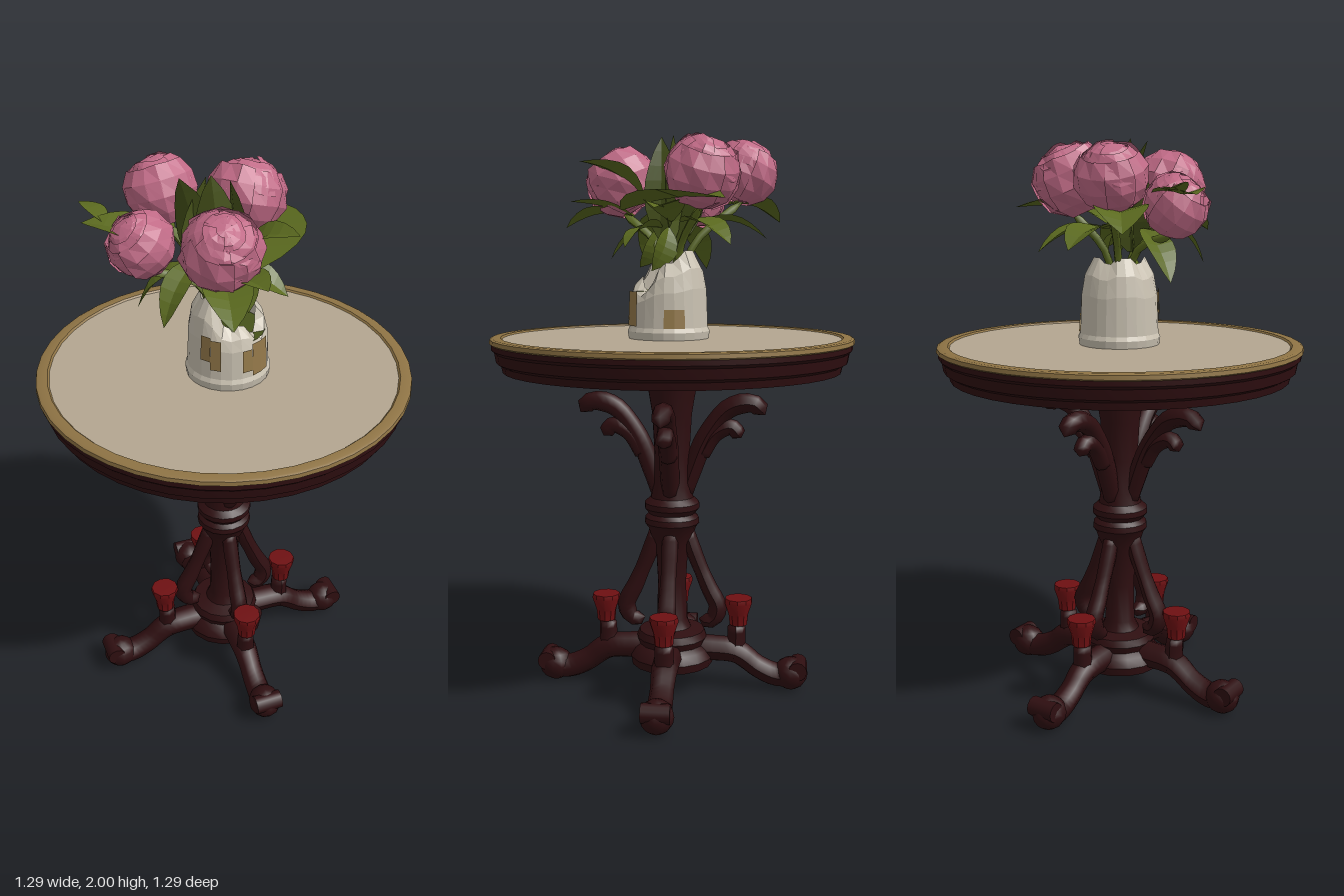
import * as THREE from 'three';
import { toCreasedNormals } from 'three/addons/utils/BufferGeometryUtils.js';

const mat = (name, color, double = false) => {
  const m = new THREE.MeshStandardMaterial({ color });
  m.name = name;
  if (double) m.side = THREE.DoubleSide;
  return m;
};
const V = (x, y, z = 0) => new THREE.Vector3(x, y, z);

function add(parent, name, geometry, material, pos = [0, 0, 0]) {
  const mesh = new THREE.Mesh(geometry, material);
  mesh.name = name;
  mesh.position.set(...pos);
  parent.add(mesh);
  return mesh;
}

// Flat facets without changing the material
function facet(geometry) {
  const g = geometry.index ? geometry.toNonIndexed() : geometry;
  g.computeVertexNormals();
  return g;
}

// Move every vertex by a rule
function bend(geometry, rule) {
  const p = geometry.attributes.position;
  const v = V(0, 0);
  for (let i = 0; i < p.count; i++) {
    v.fromBufferAttribute(p, i);
    rule(v, i);
    p.setXYZ(i, v.x, v.y, v.z);
  }
  geometry.computeVertexNormals();
  return geometry;
}

const lathe = (pts, sides) =>
  toCreasedNormals(new THREE.LatheGeometry(pts.map(([r, y]) => new THREE.Vector2(r, y)), sides), 0.6);

// Tube whose radius follows a list of radii; the ends close to a point
function taperTube(points, radii, steps = 20, sides = 8) {
  const curve = new THREE.CatmullRomCurve3(points.map((p) => V(...p)));
  const g = new THREE.TubeGeometry(curve, steps, 1, sides);
  return bend(g, (v, i) => {
    const t = Math.floor(i / (sides + 1)) / steps;
    const f = t * (radii.length - 1);
    const k = Math.min(Math.floor(f), radii.length - 2);
    let r = THREE.MathUtils.lerp(radii[k], radii[k + 1], f - k);
    if (t === 0 || t === 1) r = 0.001;
    const c = curve.getPointAt(t);
    v.sub(c).multiplyScalar(r).add(c);
  });
}

// Folded leaf from base to tip, arched upward and rolled about its length
function leafGeometry(base, tip, width, arch, roll) {
  const a = V(...base), b = V(...tip);
  const dir = b.clone().sub(a).normalize();
  const ref = Math.abs(dir.y) > 0.8 ? V(0, 0, -1) : V(0, 1, 0);
  const side = dir.clone().cross(ref).normalize().applyAxisAngle(dir, roll);
  const up = side.clone().cross(dir);
  return facet(bend(new THREE.PlaneGeometry(1, 1, 4, 7), (v) => {
    const t = v.y + 0.5, s = v.x * 2;
    const w = (width / 2) * (0.12 + 0.88 * Math.sin(Math.PI * Math.pow(t, 0.85))) * (t > 0.99 ? 0 : 1);
    const lift = arch * Math.sin(Math.PI * t) + Math.abs(s) * w * 0.3;
    v.copy(a).lerp(b, t).addScaledVector(side, s * w).addScaledVector(up, lift);
  }));
}

// Rose: a closed core with three overlapping rings of petals
function rose(parent, [x, y, z], r, tiltX, tiltZ, pink, seed) {
  const g = new THREE.Group();
  g.name = 'rose';
  g.position.set(x, y, z);
  g.rotation.set(tiltX, seed, tiltZ, 'XZY');
  const rough = (v, amount) => v.multiplyScalar(1 + amount * Math.sin(v.x * 61 + seed) * Math.cos(v.z * 53 + v.y * 47));
  const core = new THREE.SphereGeometry(r * 0.88, 10, 7);
  add(g, 'roseCore', facet(bend(core, (v) => rough(v, 0.04))), pink);
  [[5, 1, 0.85, 2.65, 1.7], [4, 0.94, 0.55, 1.5, 1.8], [3, 0.9, 0.22, 0.95, 1.9]].forEach(([n, size, t0, t1, span], ring) => {
    for (let i = 0; i < n; i++) {
      const petal = new THREE.SphereGeometry(r * size * (i % 2 ? 0.97 : 1.02), 4, 4, (i / n) * Math.PI * 2 + ring, span, t0, t1 - t0);
      bend(petal, (v) => {
        rough(v, 0.05);
        v.y *= 1 - 0.03 * (i % 3);
      });
      add(g, 'petal', facet(petal), pink);
    }
  });
  parent.add(g);
}

export function createModel() {
  const model = new THREE.Group();
  model.name = 'tableWithRoses';
  const wood = mat('dark wood', 0x2e0e10);
  const red = mat('red wood', 0x6e1012);
  const cream = mat('tabletop cream', 0xb3a690);
  const gold = mat('gold', 0x8e7344);
  const ceramic = mat('vase ceramic', 0xc9c1b1, true);
  const patchMat = mat('worn patch', 0x94794a, true);
  const pink = mat('rose pink', 0xc06a86, true);
  const green = mat('leaf green', 0x5b6a1f, true);
  const darkGreen = mat('dark leaf green', 0x46521a, true);

  // Round top
  const top = new THREE.Group();
  top.name = 'tableTop';
  model.add(top);
  add(top, 'apron', lathe([[0, 1.18], [0.6, 1.18], [0.605, 1.205], [0.622, 1.215], [0.628, 1.25], [0.638, 1.26], [0.638, 1.278]], 40), wood);
  add(top, 'goldRim', lathe([[0.636, 1.276], [0.645, 1.282], [0.643, 1.296], [0.635, 1.3], [0.605, 1.3], [0.598, 1.293]], 40), gold);
  add(top, 'inlay', new THREE.CircleGeometry(0.602, 40).rotateX(-Math.PI / 2), cream, [0, 1.294, 0]);

  // Turned column and base
  add(model, 'column', lathe([
    [0, 0.09], [0.15, 0.09], [0.155, 0.12], [0.14, 0.15], [0.12, 0.165], [0.13, 0.19], [0.12, 0.215], [0.07, 0.225],
    [0.055, 0.26], [0.052, 0.4], [0.06, 0.54], [0.08, 0.58], [0.088, 0.605], [0.1, 0.62], [0.098, 0.64], [0.084, 0.655],
    [0.1, 0.675], [0.1, 0.695], [0.078, 0.715], [0.07, 0.76], [0.064, 0.88], [0.072, 1.02], [0.092, 1.14], [0.098, 1.18],
  ], 16), wood);

  // Four diagonal sets of leg, post, strut and bracket
  for (let k = 0; k < 4; k++) {
    const arm = new THREE.Group();
    arm.name = 'legSet';
    arm.rotation.y = Math.PI / 4 + (k * Math.PI) / 2;
    model.add(arm);
    add(arm, 'leg', taperTube([[0.04, 0.145], [0.15, 0.145], [0.24, 0.135], [0.32, 0.08], [0.39, 0.052], [0.46, 0.06]],
      [0.05, 0.05, 0.048, 0.042, 0.045, 0.05]), wood);
    add(arm, 'foot', new THREE.SphereGeometry(0.06, 12, 8).scale(1.05, 1, 1), wood, [0.44, 0.06, 0]);
    add(arm, 'footScroll', new THREE.CylinderGeometry(0.034, 0.034, 0.1, 12).rotateX(Math.PI / 2), wood, [0.466, 0.082, 0]);
    add(arm, 'post', taperTube([[0.23, 0.1], [0.238, 0.17], [0.24, 0.25]], [0.045, 0.034, 0.032], 8), wood);
    add(arm, 'postTip', lathe([[0, 0.235], [0.033, 0.24], [0.037, 0.28], [0.052, 0.325], [0.05, 0.34], [0, 0.342]], 10), red, [0.246, 0, 0]);
    add(arm, 'strut', taperTube([[0.05, 0.6], [0.085, 0.5], [0.135, 0.38], [0.17, 0.3], [0.145, 0.25], [0.1, 0.255]],
      [0.028, 0.03, 0.028, 0.032, 0.034, 0.025]), wood);
    add(arm, 'bracket', taperTube([[0.04, 0.71], [0.075, 0.82], [0.13, 0.95], [0.21, 1.045], [0.295, 1.06], [0.335, 1.02]],
      [0.03, 0.035, 0.036, 0.034, 0.037, 0.03]), wood);
    add(arm, 'bracketScroll', taperTube([[0.1, 0.86], [0.155, 0.95], [0.215, 0.975], [0.25, 0.935]], [0.03, 0.032, 0.032, 0.026], 14), wood);
  }

  // Broken vase: the rim dips where it is chipped
  const vase = new THREE.Group();
  vase.name = 'vase';
  vase.position.set(0.015, 0, 0);
  model.add(vase);
  const vaseShell = new THREE.LatheGeometry([[0.142, 1.294], [0.146, 1.32], [0.139, 1.335], [0.134, 1.47], [0.122, 1.54], [0.09, 1.6]]
    .map(([r, y]) => new THREE.Vector2(r, y)), 24);
  add(vase, 'vaseShell', facet(bend(vaseShell, (v) => {
    if (v.y < 1.4) return;
    const angle = Math.atan2(v.x, v.z);
    const chip = Math.max(0, Math.cos(angle - 1.3)) * 0.6 + 0.12 * Math.sin(angle * 5);
    v.y -= (v.y - 1.4) * Math.max(0, chip);
  })), ceramic);
  add(vase, 'vaseFill', new THREE.CircleGeometry(0.125, 24).rotateX(-Math.PI / 2), darkGreen, [0, 1.46, 0]);
  // Worn patches: angle, width in facets, bottom and top
  for (const [f, n, y0, y1] of [[-1, 1, 1.4, 1.49], [0, 1, 1.37, 1.48], [3, 1, 1.36, 1.44], [4, 2, 1.34, 1.46], [9, 2, 1.335, 1.4]]) {
    const step = Math.PI / 12;
    add(vase, 'wornPatch', facet(new THREE.CylinderGeometry(0.139, 0.143, y1 - y0, n, 1, true, f * step, n * step)), patchMat, [0, (y0 + y1) / 2, 0]);
  }

  // Roses and their stems
  const bouquet = new THREE.Group();
  bouquet.name = 'bouquet';
  model.add(bouquet);
  const roses = [
    [[0.005, 1.865, -0.17], 0.133, -0.4, 0],
    [[-0.265, 1.875, -0.08], 0.122, -0.15, 0.35],
    [[-0.225, 1.78, 0.145], 0.112, 0.6, 0.4],
    [[0.08, 1.84, 0.19], 0.13, 0.5, -0.3],
  ];
  roses.forEach(([pos, r, tx, tz], i) => {
    rose(bouquet, pos, r, tx, tz, pink, i * 1.3 + 0.4);
    const [x, y, z] = pos;
    add(bouquet, 'stem', taperTube([[x * 0.1, 1.45, z * 0.1], [x * 0.3, 1.62, z * 0.3], [x, y - r * 0.8, z]], [0.014, 0.014, 0.016], 8, 5), green);
  });

  // Leaves: base, tip, width, arch, roll
  const leaves = [
    [[-0.17, 1.77, 0.12], [-0.43, 1.82, 0.16], 0.17, 0.02, 0],
    [[-0.36, 1.82, 0.13], [-0.495, 1.84, 0.055], 0.08, 0.01, 0.2],
    [[0.08, 1.78, 0.06], [0.305, 1.9, 0.12], 0.12, 0.03, 0.2],
    [[0.06, 1.72, 0.14], [0.2, 1.68, 0.37], 0.16, 0.03, 0],
    [[0.08, 1.72, 0.12], [0.26, 1.77, 0.25], 0.13, 0.01, 0],
    [[0.14, 1.74, 0.1], [0.06, 1.77, -0.355], 0.25, 0.02, 0.1],
    [[0.02, 1.7, -0.02], [0.2, 1.74, -0.16], 0.14, 0.03, 0],
    [[-0.2, 1.76, -0.04], [-0.445, 1.7, -0.08], 0.18, 0.03, 0],
    [[-0.08, 1.7, 0.06], [-0.26, 1.53, 0.12], 0.11, 0.03, 0],
    [[-0.05, 1.74, 0.08], [-0.08, 1.58, 0.28], 0.1, 0.04, 0],
    [[0.03, 1.68, 0.02], [0.22, 1.61, -0.02], 0.11, 0.03, 0.3],
    [[0.0, 1.7, -0.05], [-0.02, 1.62, -0.29], 0.14, 0.03, 0],
    [[-0.08, 1.7, -0.06], [-0.25, 1.64, -0.22], 0.14, 0.03, 0],
    [[0.02, 1.68, 0.05], [0.06, 1.54, 0.11], 0.09, 0.02, 0],
    [[0.03, 1.68, -0.02], [0.09, 1.53, 0.0], 0.1, 0.02, 0],
    [[0.0, 1.7, 0.08], [0.12, 1.57, 0.2], 0.09, 0.02, 0],
  ];
  for (const l of leaves) add(bouquet, 'leaf', leafGeometry(...l), green);
  // Upright leaves in the middle
  const upright = [
    [[-0.05, 1.62, 0.04], [-0.12, 1.99, 0.07], 0.16, 0.02, 0],
    [[0.0, 1.62, 0.0], [-0.03, 2.0, 0.03], 0.15, -0.02, 0.5],
    [[-0.03, 1.62, 0.03], [-0.06, 1.98, 0.0], 0.17, 0.03, 1.5],
    [[0.03, 1.64, 0.03], [0.03, 1.99, 0.02], 0.12, 0.02, -0.6],
  ];
  for (const l of upright) add(bouquet, 'uprightLeaf', leafGeometry(...l), darkGreen);

  return model;
}
